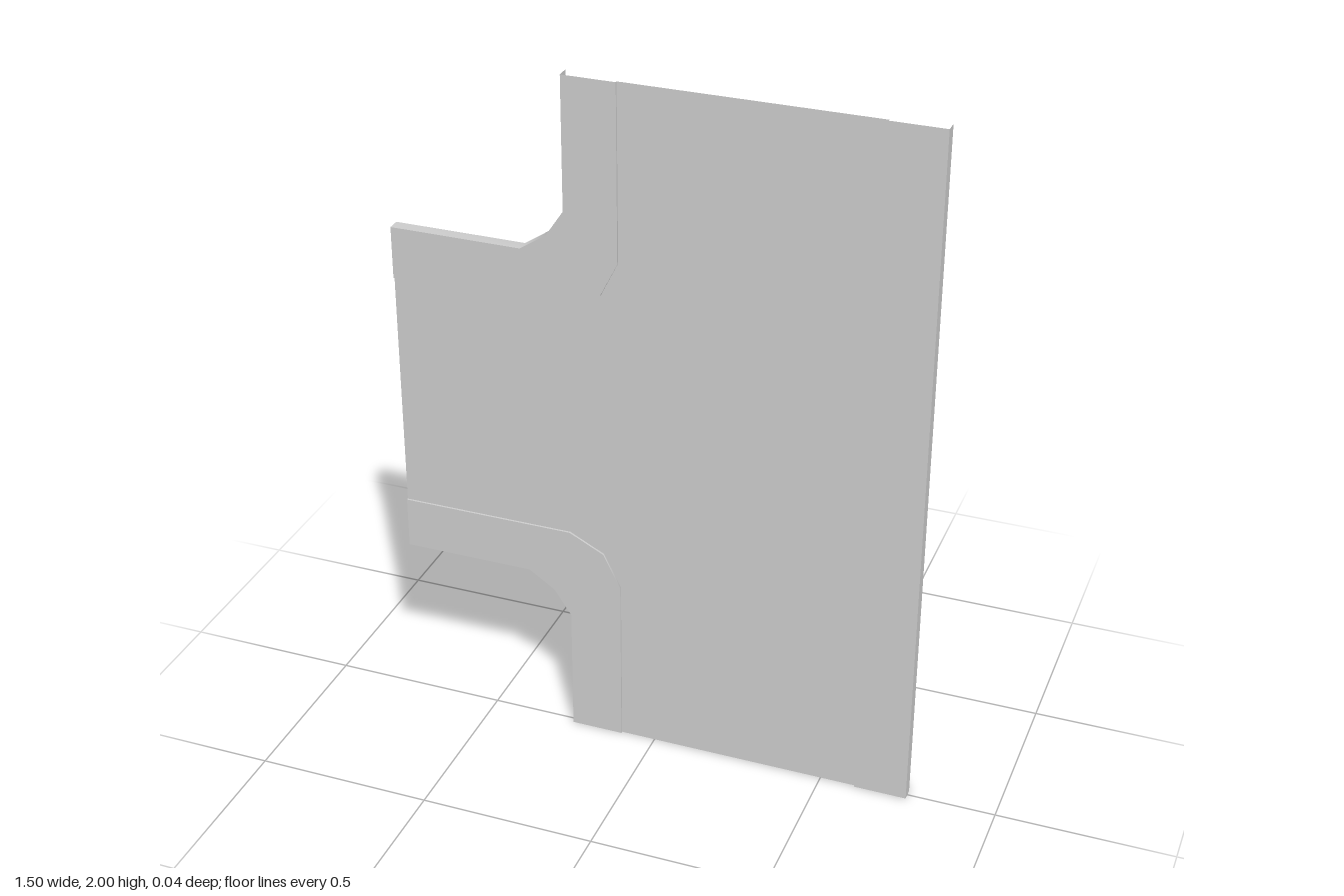
import * as THREE from 'three';

const FRONT = 0.018, ROAD = 0.012, BACK = -0.018;

export function createModel() {
  const group = new THREE.Group();
  const material = new THREE.MeshStandardMaterial({ color: 0xcccccc, side: THREE.DoubleSide });

  const add = (name, geometry) => {
    const mesh = new THREE.Mesh(geometry, material);
    mesh.name = name;
    group.add(mesh);
  };

  // flat sheet facing +z
  const sheet = (name, points, z) => {
    const shape = new THREE.Shape(points.map(([x, y]) => new THREE.Vector2(x, y)));
    add(name, new THREE.ShapeGeometry(shape).translate(0, 0, z));
  };

  // thin upright band following a path, from depth z0 to z1
  const band = (name, points, z0, z1) => {
    const positions = [], index = [];
    points.forEach(([x, y], i) => {
      positions.push(x, y, z0, x, y, z1);
      if (i) {
        const a = 2 * i - 2;
        index.push(a, a + 1, a + 2, a + 1, a + 3, a + 2);
      }
    });
    const g = new THREE.BufferGeometry();
    g.setAttribute('position', new THREE.Float32BufferAttribute(positions, 3));
    g.setIndex(index);
    g.computeVertexNormals();
    add(name, g);
  };

  // lower corner paths, from the branch end to the bottom edge
  const outer = [[-0.75, 0.5], [-0.375, 0.5], [-0.3, 0.45], [-0.25, 0.375], [-0.25, 0]];
  const inner = [[-0.75, 0.65], [-0.25, 0.65], [-0.15, 0.6], [-0.1, 0.5], [-0.1, 0]];
  const mirror = (path) => path.map(([x, y]) => [x, 2 - y]).reverse();
  const straightOuter = [[0.75, 0], [0.75, 2]];
  const straightInner = [[0.6, 0], [0.6, 2]];

  // sunken road surface
  sheet('roadSurface', [...inner, ...straightInner, ...mirror(inner)], ROAD);

  // raised border, kerb step and deep outer rim on each side
  const sides = [
    ['lowerCorner', outer, inner],
    ['upperCorner', mirror(outer), mirror(inner)],
    ['straightSide', straightOuter, straightInner],
  ];
  for (const [name, out, inn] of sides) {
    sheet(name + 'Border', [...out, ...[...inn].reverse()], FRONT);
    band(name + 'Kerb', [...inn].reverse(), ROAD, FRONT);
    band(name + 'Rim', out, BACK, FRONT);
  }
  return group;
}
